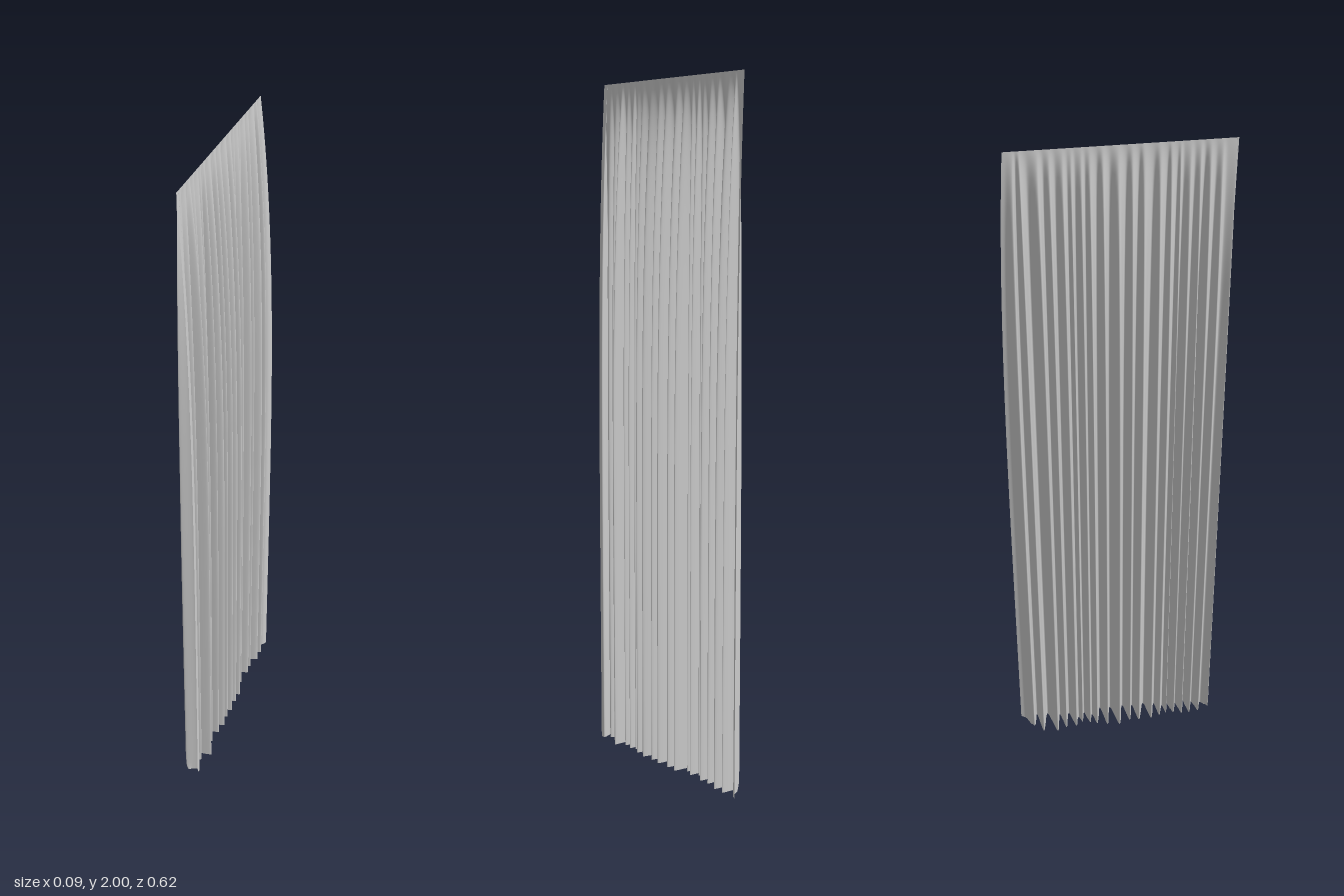
import * as THREE from 'three';

// Fold line at the floor, back to front: [z, x] of each pleat crest
const crests = [
  [-0.312, 0.045], [-0.298, 0.036], [-0.273, -0.01], [-0.26, 0.044], [-0.245, -0.038],
  [-0.225, 0.043], [-0.2, -0.046], [-0.185, 0.032], [-0.17, -0.034], [-0.155, 0.034],
  [-0.137, -0.033], [-0.125, 0.012], [-0.115, -0.018], [-0.105, 0.028], [-0.09, -0.025],
  [-0.08, 0.016], [-0.068, -0.033], [-0.05, 0.042], [-0.035, -0.042], [-0.017, 0.04],
  [0.004, -0.047], [0.025, 0.042], [0.04, -0.034], [0.057, 0.038], [0.07, -0.037],
  [0.095, 0.041], [0.111, -0.036], [0.13, 0.034], [0.14, -0.028], [0.155, 0.02],
  [0.163, -0.02], [0.172, 0.028], [0.188, -0.023], [0.2, 0.024], [0.214, -0.03],
  [0.226, 0.044], [0.24, -0.03], [0.255, 0.022], [0.27, -0.026], [0.283, 0.016],
  [0.306, -0.01], [0.296, 0.03], [0.31, 0.03],
];

const COLUMNS = 420;
const ROWS = 40;

export function createModel() {
  const group = new THREE.Group();
  group.name = 'curtain';

  const fold = new THREE.CatmullRomCurve3(
    crests.map(([z, x]) => new THREE.Vector3(x, 0, z)), false, 'centripetal');
  const line = fold.getPoints(COLUMNS);

  // Cloth sheet: flat along the top edge, opening into deep pleats further down
  const geometry = new THREE.PlaneGeometry(1, 1, COLUMNS, ROWS);
  const position = geometry.attributes.position;
  for (let row = 0; row <= ROWS; row++) {
    const y = 1 + Math.cos(Math.PI * row / ROWS);
    const open = 1 - Math.pow(y / 2, 4.5);
    // The hem drags slightly sideways where it meets the floor
    const drag = 0.006 * Math.pow(Math.max(0, 1 - y / 0.03), 2);
    for (let column = 0; column <= COLUMNS; column++) {
      const { x, z } = line[column];
      // The back edge is gathered a little narrower at the top
      const topZ = z < -0.24 ? -0.24 + (z + 0.24) * 0.62 : z;
      position.setXYZ(row * (COLUMNS + 1) + column,
        x * open + (x < 0 ? drag : 0), y, THREE.MathUtils.lerp(topZ, z, open));
    }
  }
  geometry.computeVertexNormals();

  const cloth = new THREE.Mesh(geometry, new THREE.MeshStandardMaterial({
    color: 0xcccccc, side: THREE.DoubleSide,
  }));
  cloth.name = 'pleatedCloth';
  group.add(cloth);
  return group;
}
